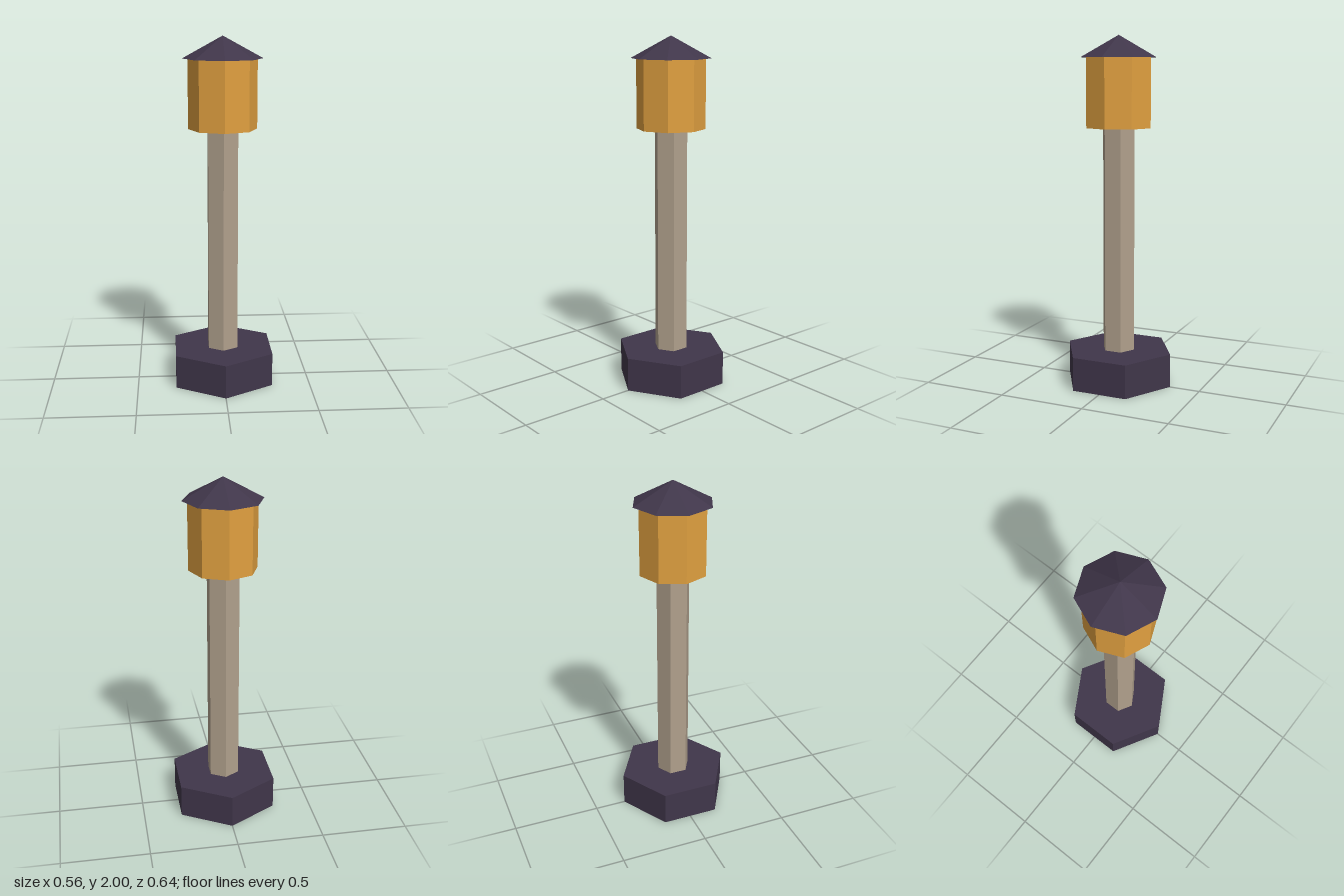
import * as THREE from 'three';

const material = (color) => new THREE.MeshStandardMaterial({ color, flatShading: true });

export function createModel() {
  const group = new THREE.Group();
  const dark = material(0x40364a);
  const stone = material(0xb0a08c);
  const amber = material(0xe0a040);

  // Upright prism or cone between two heights, with a corner facing the front
  function addPrism(name, mat, sides, bottomRadius, topRadius, y0, y1) {
    const geometry = topRadius > 0
      ? new THREE.CylinderGeometry(topRadius, bottomRadius, y1 - y0, sides)
      : new THREE.ConeGeometry(bottomRadius, y1 - y0, sides);
    const mesh = new THREE.Mesh(geometry, mat);
    mesh.name = name;
    mesh.position.y = (y0 + y1) / 2;
    group.add(mesh);
  }

  // Hexagonal foot and post
  addPrism('base', dark, 6, 0.322, 0.322, 0, 0.195);
  addPrism('post', stone, 6, 0.097, 0.097, 0.195, 1.487);

  // Octagonal lantern with a pointed roof
  addPrism('lantern', amber, 8, 0.194, 0.194, 1.487, 1.877);
  addPrism('roof', dark, 8, 0.225, 0, 1.877, 2);

  return group;
}
